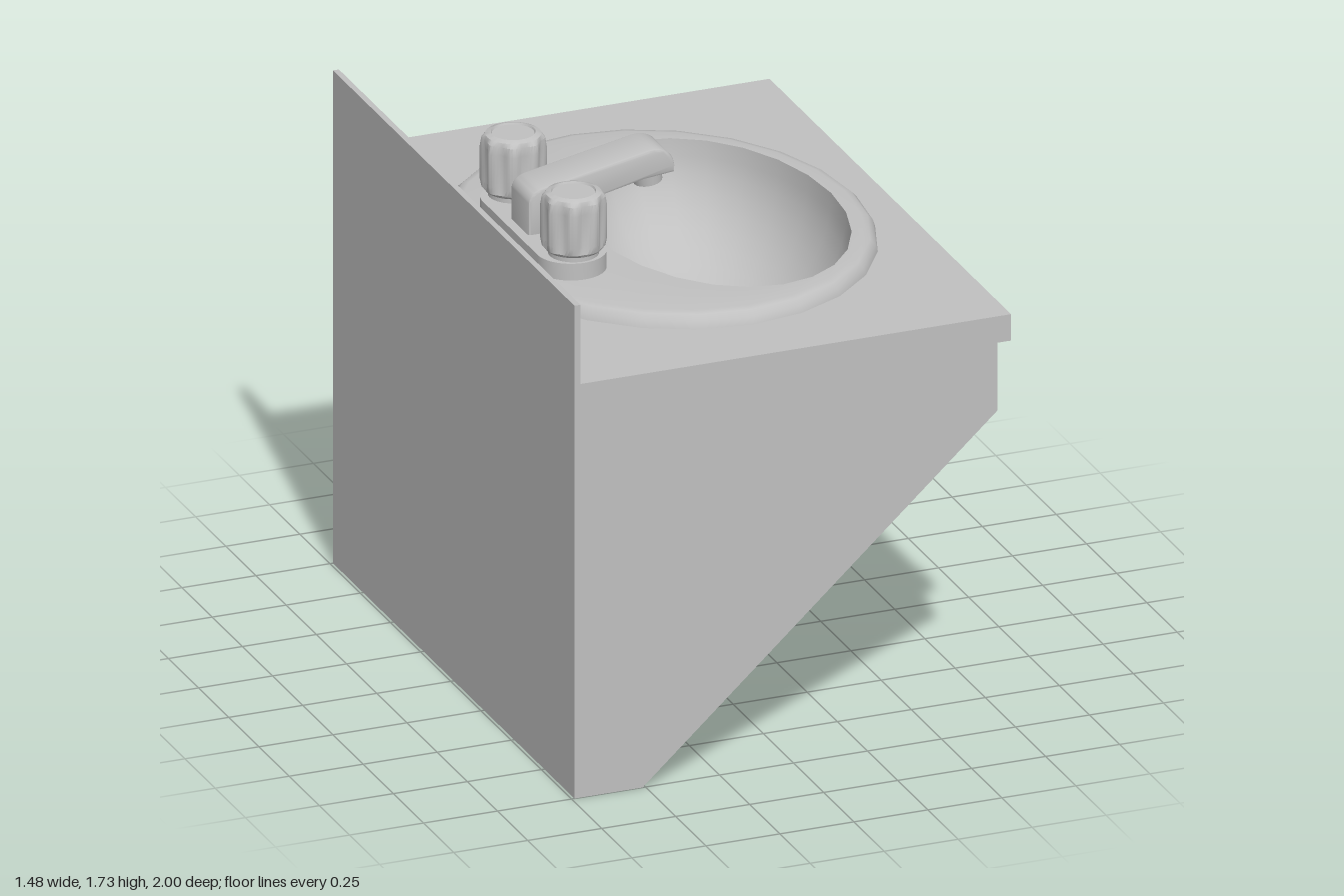
import * as THREE from 'three';
import { toCreasedNormals } from 'three/addons/utils/BufferGeometryUtils.js';

const V2 = (p) => new THREE.Vector2(p[0], p[1]);

// Skin a stack of rings; each ring is a function of angle giving [x, y, z]
function loft(rings, segs, crease) {
  const pos = [], idx = [];
  for (const ring of rings)
    for (let i = 0; i < segs; i++) pos.push(...ring((i / segs) * Math.PI * 2));
  for (let j = 0; j < rings.length - 1; j++)
    for (let i = 0; i < segs; i++) {
      const k = (i + 1) % segs;
      const a = j * segs + i, b = j * segs + k, c = a + segs, d = b + segs;
      idx.push(a, c, b, b, c, d);
    }
  const g = new THREE.BufferGeometry();
  g.setAttribute('position', new THREE.Float32BufferAttribute(pos, 3));
  g.setIndex(idx);
  return toCreasedNormals(g, crease);
}

const ellipse = (cx, y, rx, rz) => (t) => [cx + rx * Math.cos(t), y, rz * Math.sin(t)];

export function createModel() {
  const model = new THREE.Group();
  const grey = new THREE.MeshStandardMaterial({ color: 0xc0c0c0 });
  grey.name = 'grey';
  const greySheet = new THREE.MeshStandardMaterial({ color: 0xc0c0c0, side: THREE.DoubleSide });
  greySheet.name = 'grey sheet';
  const add = (name, geo, mat = grey, parent = model) => {
    const m = new THREE.Mesh(geo, mat);
    m.name = name;
    parent.add(m);
    return m;
  };

  // Cabinet side outline, counter-clockwise, with splashback and counter lip
  const profile = [[-0.72, 1.41], [-0.72, 1.68], [-0.74, 1.68], [-0.74, 0], [-0.51, 0],
    [0.69, 1.09], [0.69, 1.32], [0.735, 1.32], [0.735, 1.41]];
  const pos = [];
  for (let i = 0; i < profile.length - 1; i++) {
    const p = profile[i], q = profile[i + 1];
    pos.push(...p, 1, ...p, -1, ...q, 1, ...q, 1, ...p, -1, ...q, -1);
  }
  const walls = new THREE.BufferGeometry();
  walls.setAttribute('position', new THREE.Float32BufferAttribute(pos, 3));
  walls.computeVertexNormals();
  add('cabinetWalls', walls);
  const side = (s) => new THREE.ShapeGeometry(new THREE.Shape(profile.map(([x, y]) => V2([x * s, y]))));
  add('cabinetLeftSide', side(1).translate(0, 0, 1));
  add('cabinetRightSide', side(-1).rotateY(Math.PI).translate(0, 0, -1));

  // Countertop with the opening for the basin
  const top = new THREE.Shape([[-0.72, -1], [0.735, -1], [0.735, 1], [-0.72, 1]].map(V2));
  top.holes.push(new THREE.Path().absellipse(-0.04, 0, 0.63, 0.73, 0, Math.PI * 2, true));
  add('countertop', new THREE.ShapeGeometry(top, 24).rotateX(-Math.PI / 2).translate(0, 1.41, 0));

  // Basin: rounded oval rim, flat deck, then an offset half-ellipsoid bowl
  const deckY = 1.455, depth = 0.42, bowlX = 0.125;
  const rings = [[1, 1.41], [0.99, 1.433], [0.965, 1.45], [0.935, deckY]]
    .map(([s, y]) => ellipse(-0.04, y, 0.665 * s, 0.77 * s));
  for (let j = 0; j <= 12; j++) {
    const a = (j / 12) * Math.PI / 2, c = Math.cos(a);
    rings.push(ellipse(bowlX, deckY - depth * Math.sin(a), 0.41 * c, 0.61 * c));
  }
  add('basin', loft(rings, 24, 0.75), greySheet);

  // Drain strainer with a cluster of holes
  const drain = new THREE.Shape().absarc(0, 0, 0.09, 0, Math.PI * 2, false);
  [[-0.044, 2], [-0.015, 4], [0.015, 4], [0.044, 2]].forEach(([x, n]) => {
    for (let i = 0; i < n; i++)
      drain.holes.push(new THREE.Path().absarc(x, (i - (n - 1) / 2) * 0.03, 0.011, 0, Math.PI * 2, true));
  });
  add('drain', new THREE.ShapeGeometry(drain, 10).rotateX(-Math.PI / 2)
    .translate(0.1, deckY - depth + 0.012, 0));

  // Overflow fitting on the rear wall of the bowl
  const overflow = new THREE.Group();
  overflow.name = 'overflow';
  overflow.position.set(-0.268, 1.345, 0);
  overflow.rotation.set(0, Math.PI / 2, 0);
  add('overflowRing', new THREE.TorusGeometry(0.032, 0.005, 6, 20), grey, overflow);
  add('overflowCap', new THREE.CircleGeometry(0.032, 20), grey, overflow);
  model.add(overflow);

  // Faucet base plate with rounded ends
  const tapX = -0.437, r = 0.112, endZ = 0.228;
  const plate = new THREE.Shape();
  plate.absarc(0, endZ, r, 0, Math.PI, false);
  plate.absarc(0, -endZ, r, Math.PI, Math.PI * 2, false);
  plate.closePath();
  const plateGeo = new THREE.ExtrudeGeometry(plate, { depth: 0.057, bevelEnabled: false, curveSegments: 14 });
  add('faucetBase', toCreasedNormals(plateGeo.rotateX(-Math.PI / 2).translate(tapX, deckY, 0), 0.6));

  // Fluted knobs on short collars
  const flute = (radius, y, dent) => (t) => {
    const rr = radius - dent * Math.pow(Math.cos(4 * t), 2);
    return [rr * Math.cos(t), y, rr * Math.sin(t)];
  };
  const knobGeo = loft([[0, 1.53, 0], [0.088, 1.53, 0], [0.1, 1.54, 0.006], [0.105, 1.565, 0.016],
    [0.105, 1.675, 0.016], [0.1, 1.705, 0.008], [0.088, 1.718, 0], [0.07, 1.724, 0],
    [0.067, 1.718, 0], [0, 1.718, 0]].map((a) => flute(...a)), 64, 0.6);
  for (const s of [-1, 1]) {
    const tap = new THREE.Group();
    tap.name = s > 0 ? 'leftTap' : 'rightTap';
    tap.position.set(tapX, 0, s * 0.25);
    add('collar', new THREE.CylinderGeometry(0.08, 0.08, 0.03, 24).translate(0, 1.522, 0), grey, tap);
    add('knob', knobGeo, grey, tap);
    model.add(tap);
  }

  // Spout: column and rising arm with a rounded tip
  const spout = new THREE.Shape();
  spout.moveTo(-0.51, 1.5);
  spout.lineTo(-0.345, 1.5);
  spout.lineTo(-0.345, 1.598);
  spout.lineTo(-0.13, 1.645);
  spout.lineTo(-0.03, 1.655);
  spout.bezierCurveTo(-0.025, 1.7, -0.06, 1.735, -0.11, 1.725);
  spout.lineTo(-0.47, 1.655);
  spout.quadraticCurveTo(-0.51, 1.645, -0.51, 1.61);
  spout.closePath();
  const spoutGeo = new THREE.ExtrudeGeometry(spout, {
    depth: 0.13, bevelThickness: 0.01, bevelSize: 0.008, bevelSegments: 2, curveSegments: 8 });
  add('spout', toCreasedNormals(spoutGeo.translate(0, 0, -0.065), 0.6));
  const nozzle = add('nozzle', new THREE.CylinderGeometry(0.05, 0.046, 0.05, 20));
  nozzle.position.set(-0.088, 1.625, 0);
  nozzle.rotation.z = 0.15;

  return model;
}
